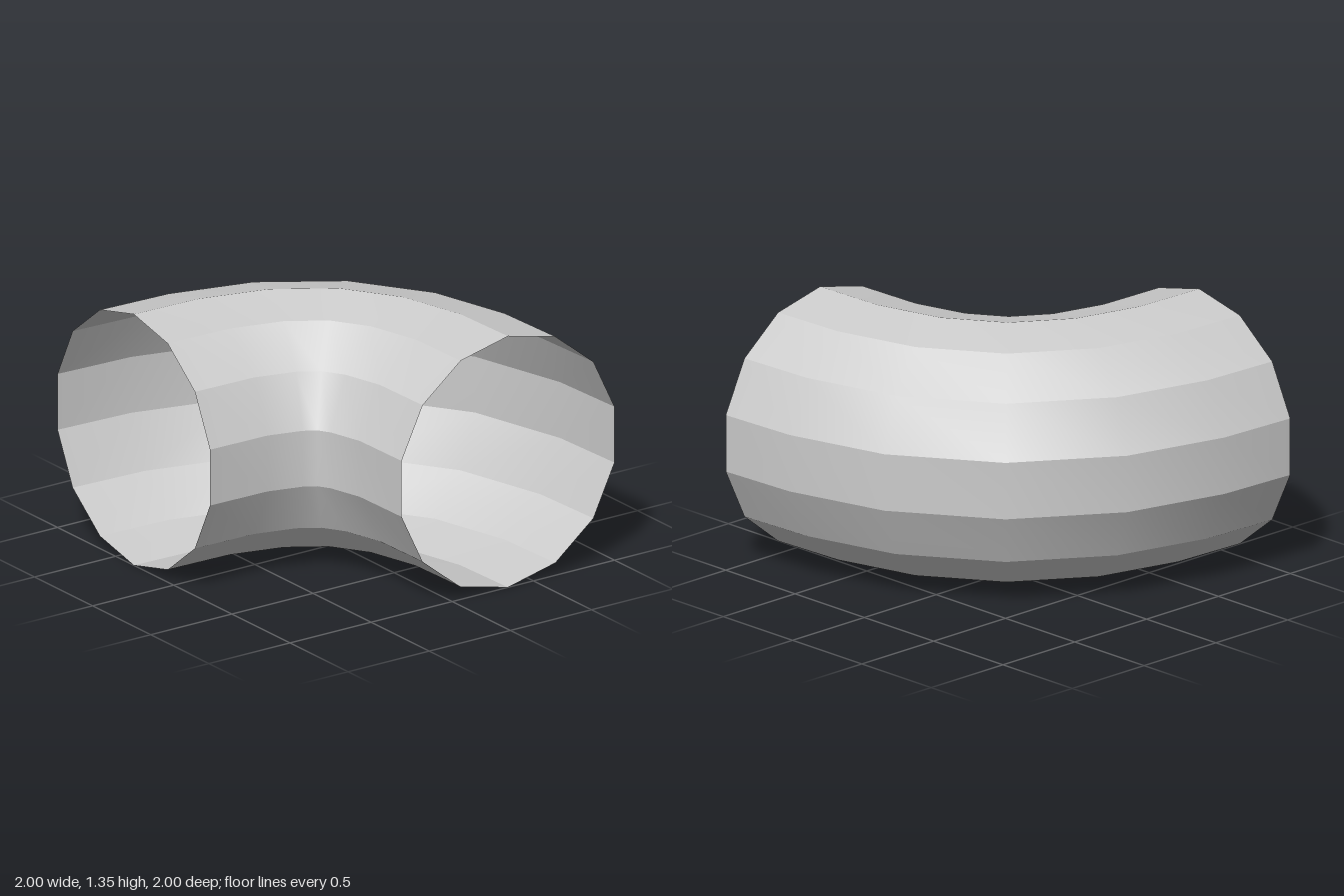
import * as THREE from 'three';

const SIDES = 14;
const RADIUS = 0.673;
const FLAT = Math.cos(Math.PI / SIDES); // flat-to-centre over corner radius

// Plan of the bend: [outerX, outerZ, innerX, innerZ] for each ring, up to the middle one
const half = [
  [-1, 1, 0.312, 1],
  [-0.98, 0.56, 0.318, 0.65],
  [-0.842, 0.019, 0.366, 0.468],
  [-0.497, -0.497, 0.404, 0.404],
];
// The second half mirrors the first across the diagonal (x and z swap)
const mirrored = half.slice(0, -1).reverse().map(([ox, oz, ix, iz]) => [oz, ox, iz, ix]);
const rings = [...half, ...mirrored];

// Point on a ring: angle 0 points to the outside of the bend, 90 degrees is up
function ringPoint([ox, oz, ix, iz], angle) {
  const s = Math.cos(angle) / FLAT / 2;
  return [
    (ox + ix) / 2 + (ox - ix) * s,
    RADIUS * (1 + Math.sin(angle)),
    (oz + iz) / 2 + (oz - iz) * s,
  ];
}

// Separate strips keep the long edges sharp; shading is smooth along each strip
function elbowGeometry() {
  const positions = [];
  const indices = [];
  for (let k = 0; k < SIDES; k++) {
    const start = positions.length / 3;
    const a0 = ((k - 0.5) / SIDES) * Math.PI * 2;
    const a1 = ((k + 0.5) / SIDES) * Math.PI * 2;
    rings.forEach((ring, i) => {
      positions.push(...ringPoint(ring, a0), ...ringPoint(ring, a1));
      if (i === rings.length - 1) return;
      const p = start + i * 2;
      indices.push(p, p + 1, p + 3, p, p + 3, p + 2);
    });
  }
  const geometry = new THREE.BufferGeometry();
  geometry.setAttribute('position', new THREE.Float32BufferAttribute(positions, 3));
  geometry.setIndex(indices);
  geometry.computeVertexNormals();
  return geometry;
}

export function createModel() {
  const group = new THREE.Group();
  group.name = 'pipeElbow';

  // Thin-walled bend, open at both ends
  const material = new THREE.MeshStandardMaterial({ color: 0xcccccc, side: THREE.DoubleSide });
  const pipe = new THREE.Mesh(elbowGeometry(), material);
  pipe.name = 'bentPipe';
  group.add(pipe);
  return group;
}
